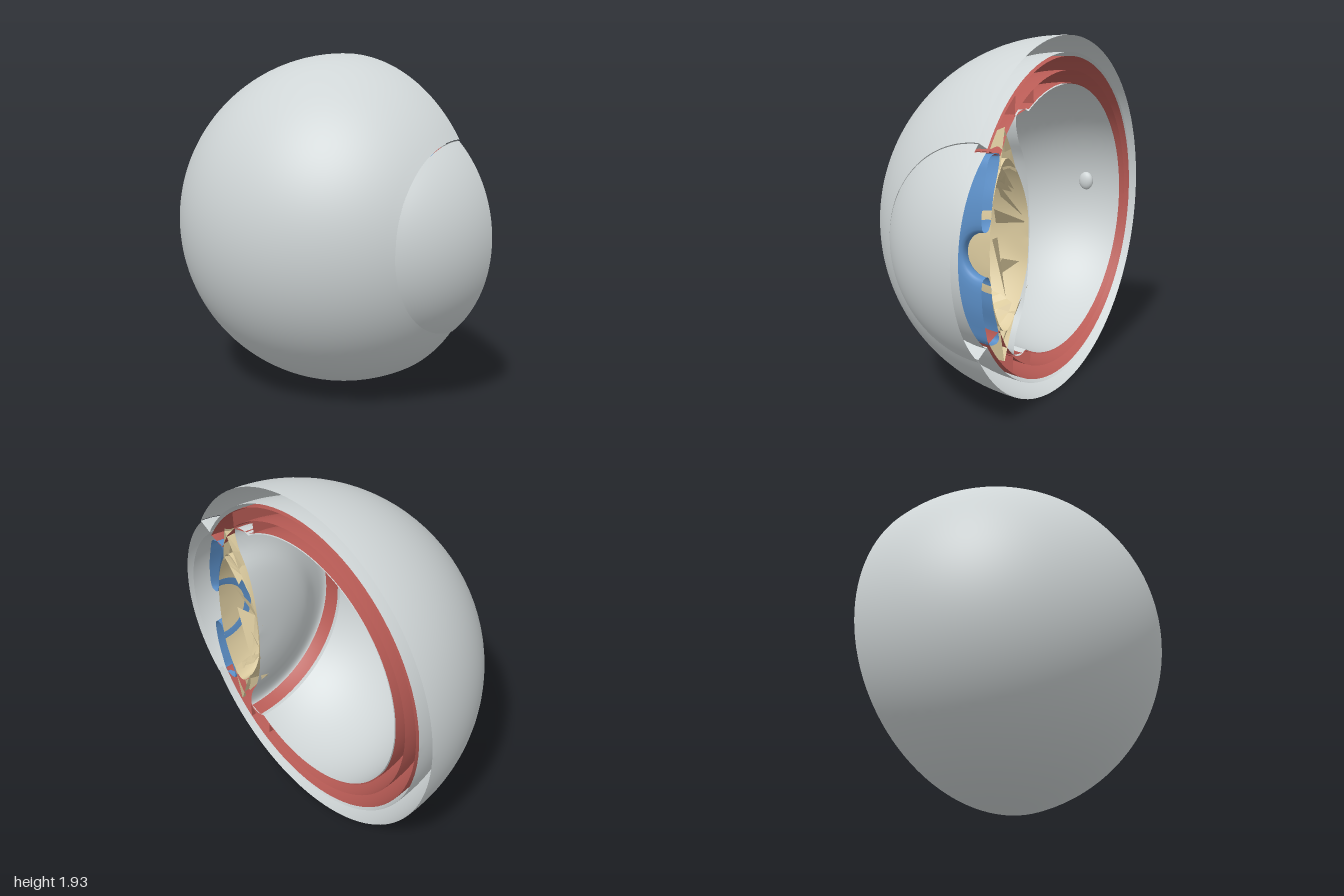
import * as THREE from 'three';

const material = (name, color) => {
  const m = new THREE.MeshStandardMaterial({ color, side: THREE.DoubleSide });
  m.name = name;
  return m;
};

// Points [radius, z] on a sphere, from the back pole (or z0) forward to z1
function arc(R, centre, z0, z1, n = 32) {
  const a0 = Math.acos(THREE.MathUtils.clamp((z0 - centre) / R, -1, 1));
  const a1 = Math.acos(THREE.MathUtils.clamp((z1 - centre) / R, -1, 1));
  return Array.from({ length: n + 1 }, (_, i) => {
    const a = a0 + (a1 - a0) * i / n;
    return [Math.max(0, R * Math.sin(a)), centre + R * Math.cos(a)];
  });
}

// Smooth profile through a few points
const smooth = (pts, n = 24, closed = false) => new THREE.CatmullRomCurve3(
  pts.map(([r, z]) => new THREE.Vector3(r, z, 0)), closed, 'centripetal')
  .getPoints(n).map(p => [Math.max(0, p.x), p.y]);

// Half revolution about the z axis, open on the cut side
function halfLathe(pts, segments = 64) {
  const g = new THREE.LatheGeometry(pts.map(p => new THREE.Vector2(...p)), segments, Math.PI, Math.PI);
  return g.rotateX(Math.PI / 2);
}

function faceted(g) {
  const flat = g.index ? g.toNonIndexed() : g;
  flat.computeVertexNormals();
  return flat;
}

function seeded(seed) {
  return () => (seed = (seed * 16807) % 2147483647) / 2147483647;
}

export function createModel() {
  const grey = material('pale grey', 0xcfd5d6);
  const red = material('tissue red', 0xb85b55);
  const blue = material('iris blue', 0x5c90c9);
  const beige = material('lens beige', 0xdccb9f);
  const model = new THREE.Group();
  model.name = 'eyeSection';
  const eye = new THREE.Group();
  eye.name = 'halfEye';
  eye.position.set(0.48, 0.965, 0);
  model.add(eye);
  const add = (name, geometry, mat, y = 0) => {
    const mesh = new THREE.Mesh(geometry, mat);
    mesh.name = name;
    mesh.position.y = y;
    eye.add(mesh);
    return mesh;
  };
  const C = -0.035;   // centre of the globe
  const front = -0.02; // height offset of the front parts

  // Outer white shell and its inner wall
  add('scleraOuter', halfLathe(arc(0.963, C, -1, 0.777, 48), 80), grey);
  add('scleraInner', halfLathe(arc(0.877, C, -1, 0.7, 40)), grey);
  add('limbus', halfLathe([[0.477, 0.7], [0.515, 0.777]]), grey);

  // Cornea, front and back surfaces
  add('corneaOuter', halfLathe(arc(0.713, 0.287, 0.775, 1, 20)), grey, front / 2);
  add('corneaInner', halfLathe(arc(0.6, 0.34, 0.71, 0.94, 20)), grey, front / 2);

  // Red layers, hollow between their walls
  add('choroidOuter', halfLathe(arc(0.857, C, -1, 0.69, 40)), red);
  add('choroidInner', halfLathe(arc(0.785, C, -1, 0.47, 40)), red);
  add('retina', halfLathe(arc(0.722, C, -1, 0.33, 40)), red);
  add('choroidEdge', halfLathe([[0.695, 0.46], [0.6, 0.46]]), red);
  add('retinaEdge', halfLathe([[0.715, 0.29], [0.645, 0.285]]), red);
  add('ciliaryBody', halfLathe([[0.465, 0.69], [0.43, 0.59], [0.53, 0.53],
    [0.6, 0.46], [0.625, 0.35]]), red);

  // Hollow inner body with a dished front that curls around the lens
  add('vitreousWall', halfLathe(arc(0.715, C, -1, 0.335, 36), 56), grey);
  add('vitreousFront', halfLathe(smooth([[0.612, 0.335], [0.625, 0.39], [0.6, 0.45],
    [0.5, 0.435], [0.38, 0.37], [0.2, 0.325], [0, 0.312]], 28), 48), grey);

  // Small bump on the back wall
  const disc = add('opticDisc', new THREE.SphereGeometry(0.045, 16, 12), grey);
  disc.position.set(-0.2, 0.075, -0.71);
  disc.scale.set(1, 1.2, 0.6);

  // Iris: hollow ring around the pupil
  add('iris', halfLathe(smooth([[0.11, 0.7], [0.12, 0.74], [0.24, 0.745], [0.37, 0.715],
    [0.455, 0.68], [0.46, 0.6], [0.4, 0.605], [0.27, 0.65], [0.14, 0.675]], 40, true), 48), blue, front);

  // Hollow lens
  add('lens', halfLathe(smooth([[0, 0.32], [0.15, 0.333], [0.3, 0.4], [0.41, 0.49],
    [0.43, 0.535], [0.39, 0.585], [0.25, 0.65], [0.1, 0.676], [0, 0.68]], 40), 64), beige, front);

  // Pleated fibres from the lens rim to the ciliary body, and loose folds inside
  function pleats(name, pts, depth, seed, segments) {
    const g = halfLathe(pts, segments);
    const p = g.attributes.position;
    const rand = seeded(seed);
    for (let i = 0; i < p.count; i++) {
      const s = 1 + (rand() - 0.5) * depth;
      p.setXYZ(i, p.getX(i) * s, p.getY(i) * s, p.getZ(i) + (rand() - 0.5) * depth * 0.35);
    }
    add(name, faceted(g), beige, front);
  }
  pleats('frontFibres', [[0.38, 0.595], [0.46, 0.575], [0.57, 0.55]], 0.06, 71, 36);
  pleats('backFibres', [[0.36, 0.45], [0.46, 0.49], [0.57, 0.545]], 0.06, 913, 36);
  pleats('innerFolds', [[0.29, 0.46], [0.34, 0.52], [0.38, 0.58]], 0.14, 377, 22);

  // Loose torn shards: tip plus two base corners
  const shards = [
    [[-0.02, -0.27, 0.28], [-0.04, -0.58, 0.54], [-0.01, -0.45, 0.51]],
    [[-0.05, -0.33, 0.33], [-0.1, -0.5, 0.5], [-0.04, -0.42, 0.48]],
    [[-0.02, 0.05, 0.3], [-0.04, 0.17, 0.58], [-0.08, 0.08, 0.5]],
    [[-0.03, 0.09, 0.33], [-0.05, 0.3, 0.55], [-0.09, 0.2, 0.44]],
    [[-0.05, 0.22, 0.4], [-0.03, 0.37, 0.58], [-0.12, 0.28, 0.57]],
    [[-0.04, -0.3, 0.47], [-0.05, 0.02, 0.58], [-0.09, 0, 0.47]],
    [[-0.03, -0.14, 0.36], [-0.06, -0.1, 0.48], [-0.08, -0.19, 0.46]],
  ];
  for (const s of shards) {
    const g = new THREE.BufferGeometry();
    g.setAttribute('position', new THREE.Float32BufferAttribute(s.flat(), 3));
    add('fibreShard', faceted(g), beige);
  }
  return model;
}
